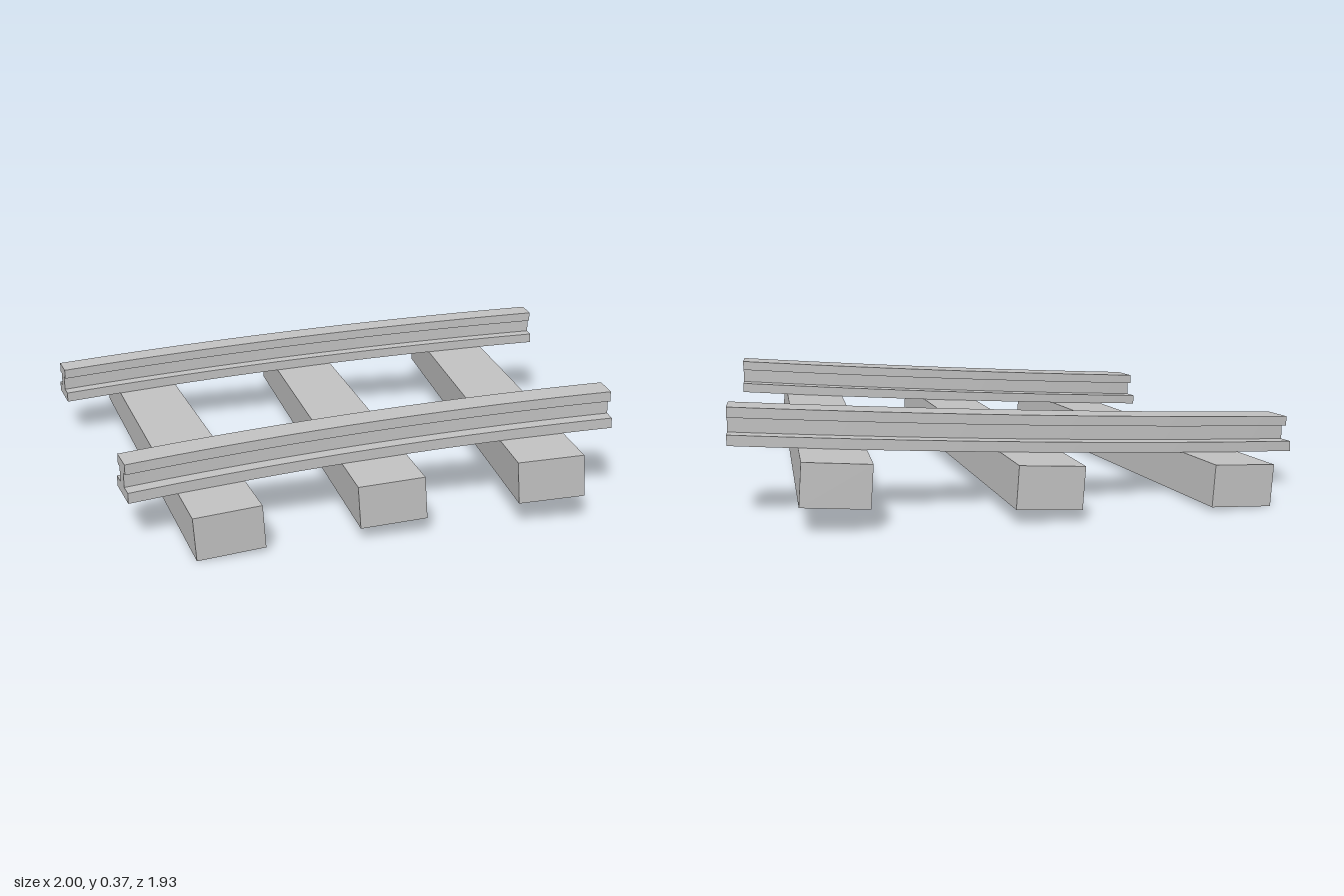
import * as THREE from 'three';
import { toCreasedNormals } from 'three/addons/utils/BufferGeometryUtils.js';

// The track bends around a vertical axis at (CX, CZ) while it climbs evenly.
const CX = -1, CZ = 6.975, MID_R = 7.07;
const SWEEP = THREE.MathUtils.degToRad(15);
const BASE_Y = 0.137, RISE = 0.117;

// Point at fraction t along the track, at radius r and height v above the ties
function trackPoint(r, v, t) {
  const a = t * SWEEP;
  return new THREE.Vector3(CX + r * Math.sin(a), BASE_Y + RISE * t + v, CZ - r * Math.cos(a));
}

// I-shaped rail section: wide foot, thin web, narrower head
function railSection() {
  const half = [[0.085, 0], [0.085, 0.036], [0.03, 0.036], [0.03, 0.088], [0.056, 0.088], [0.056, 0.123]];
  const other = half.map(([u, v]) => [-u, v]).reverse();
  return new THREE.Shape([...half, ...other].map(([u, v]) => new THREE.Vector2(u, v)));
}

// Straight extrusion bent along the climbing curve
function railGeometry(radius) {
  const geo = new THREE.ExtrudeGeometry(railSection(), { depth: 1, steps: 20, bevelEnabled: false });
  const pos = geo.attributes.position;
  for (let i = 0; i < pos.count; i++) {
    const p = trackPoint(radius + pos.getX(i), pos.getY(i), pos.getZ(i));
    pos.setXYZ(i, p.x, p.y, p.z);
  }
  return toCreasedNormals(geo, 0.5);
}

export function createModel() {
  const group = new THREE.Group();
  group.name = 'curvedTrack';
  const grey = new THREE.MeshStandardMaterial({ color: 0xc0c0c0 });
  grey.name = 'light grey';

  // Rails
  for (const [name, radius] of [['outerRail', 7.64], ['innerRail', 6.495]]) {
    const rail = new THREE.Mesh(railGeometry(radius), grey);
    rail.name = name;
    group.add(rail);
  }

  // Ties, radial to the curve and tilted with the slope
  const height = 0.145;
  const tieGeo = new THREE.BoxGeometry(0.226, height, 1.764);
  const slope = Math.atan(RISE / (MID_R * SWEEP));
  for (let i = 0; i < 3; i++) {
    const t = (i + 0.5) / 3;
    const tie = new THREE.Mesh(tieGeo, grey);
    tie.name = `tie${i + 1}`;
    tie.position.copy(trackPoint(MID_R, -height / 2, t));
    tie.rotation.set(0, -t * SWEEP, slope);
    group.add(tie);
  }
  return group;
}
